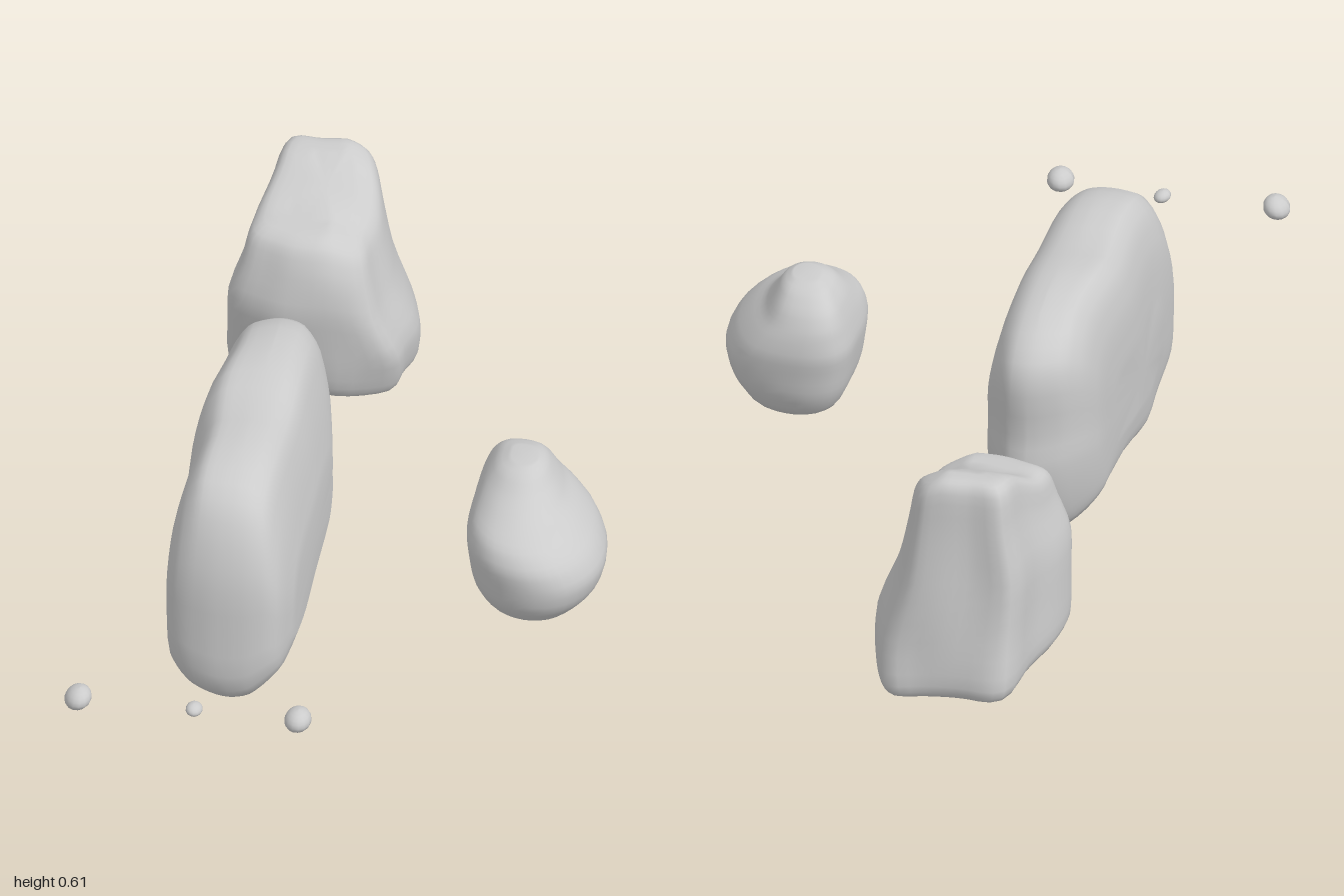
import * as THREE from 'three';

const material = new THREE.MeshStandardMaterial({ color: 0xcccccc, roughness: 0.9 });

// Closed smooth loft: one outline, fitted into the box of each ring [t, a0, a1, b0, b1].
// The outline runs anticlockwise as seen from the + end of the loft axis.
function loftRock(name, outline, rings, place, steps = 40, sub = 3) {
  const curve = new THREE.CatmullRomCurve3(outline.map(([a, b]) => new THREE.Vector3(a, b, 0)), true);
  const pts = [];
  for (let j = 0; j < steps; j++) pts.push(curve.getPoint(j / steps));
  const box = new THREE.Box3().setFromPoints(pts);
  const size = box.getSize(new THREE.Vector3());
  const fit = pts.map(p => [(p.x - box.min.x) / size.x, (p.y - box.min.y) / size.y]);

  // Subdivide between rings with a gentle cubic blend
  const fine = [];
  for (let i = 0; i < rings.length - 1; i++) {
    const at = k => rings[Math.max(0, Math.min(rings.length - 1, k))];
    for (let s = 0; s < sub; s++) {
      const f = s / sub;
      fine.push(rings[i].map((_, c) => {
        const p0 = at(i - 1)[c], p1 = at(i)[c], p2 = at(i + 1)[c], p3 = at(i + 2)[c];
        const m1 = (p2 - p0) * 0.4, m2 = (p3 - p1) * 0.4;
        return (2 * f ** 3 - 3 * f * f + 1) * p1 + (f ** 3 - 2 * f * f + f) * m1
          + (3 * f * f - 2 * f ** 3) * p2 + (f ** 3 - f * f) * m2;
      }));
    }
  }
  fine.push(rings[rings.length - 1]);

  const pos = [], idx = [];
  const n = fine.length;
  for (const [t, a0, a1, b0, b1] of fine) {
    for (const [a, b] of fit) pos.push(...place(a0 + a * (a1 - a0), b0 + b * (b1 - b0), t));
  }
  for (const [t, a0, a1, b0, b1] of [fine[0], fine[n - 1]]) pos.push(...place((a0 + a1) / 2, (b0 + b1) / 2, t));
  for (let j = 0; j < steps; j++) {
    const k = (j + 1) % steps;
    for (let i = 0; i < n - 1; i++) {
      const a = i * steps + j, b = i * steps + k, c = b + steps, d = a + steps;
      idx.push(a, b, c, a, c, d);
    }
    idx.push(n * steps, k, j);
    idx.push(n * steps + 1, (n - 1) * steps + j, (n - 1) * steps + k);
  }
  const geo = new THREE.BufferGeometry();
  geo.setAttribute('position', new THREE.Float32BufferAttribute(pos, 3));
  geo.setIndex(idx);
  geo.computeVertexNormals();
  const mesh = new THREE.Mesh(geo, material);
  mesh.name = name;
  return mesh;
}

// Upright slab, lofted along x from a side outline of [z, y], thinner at its front top corner
function slabRock() {
  const outline = [[0.59, 0.1], [0.52, 0.04], [0.36, 0.005], [0.15, 0.045], [-0.2, 0.065], [-0.25, 0.12], [-0.285, 0.25],
    [-0.275, 0.35], [-0.275, 0.5], [-0.2, 0.575], [0, 0.615], [0.18, 0.604], [0.38, 0.61], [0.51, 0.565], [0.58, 0.42], [0.595, 0.25]];
  const rings = [
    [-0.4, 0.02, 0.43, 0.18, 0.36], [-0.392, -0.11, 0.525, 0.1, 0.48], [-0.37, -0.19, 0.56, 0.06, 0.565],
    [-0.335, -0.25, 0.58, 0.025, 0.608], [-0.29, -0.28, 0.592, 0.008, 0.615], [-0.25, -0.29, 0.595, 0.003, 0.615],
    [-0.205, -0.28, 0.59, 0.015, 0.605], [-0.165, -0.23, 0.575, 0.055, 0.57], [-0.135, -0.16, 0.545, 0.1, 0.47],
    [-0.113, -0.05, 0.46, 0.16, 0.35]];
  return loftRock('slabRock', outline, rings, (z, y, x) => {
    const u = (z - 0.15) / 0.44, v = (y - 0.31) / 0.3;
    const pinch = (u > 0 && v > 0 ? 0.3 : 0.1) * (u * v) ** 2;
    const wave = x < -0.25 ? 0.006 * Math.sin(z * 17 + y * 5) : 0.012 * (z - 0.15);
    return [-0.255 + (x + 0.255) * (1 - pinch) + wave, y, z];
  }, 48);
}

// Tapered boulder with a raised back lip and a tilted base, from a plan outline of [x, z]
function backRock() {
  const outline = [[-0.4, -0.98], [-0.43, -0.84], [-0.465, -0.72], [-0.46, -0.62], [-0.38, -0.585], [-0.3, -0.565], [-0.18, -0.57],
    [-0.08, -0.61], [-0.065, -0.7], [-0.05, -0.78], [-0.07, -0.88], [-0.12, -0.985], [-0.2, -0.995], [-0.3, -0.985]];
  const rings = [
    [0.08, -0.38, -0.14, -0.92, -0.68], [0.07, -0.44, -0.08, -0.98, -0.62], [0.105, -0.465, -0.055, -0.998, -0.595],
    [0.2, -0.465, -0.05, -0.98, -0.575], [0.32, -0.46, -0.095, -0.96, -0.56], [0.42, -0.43, -0.12, -0.945, -0.575],
    [0.485, -0.415, -0.135, -0.935, -0.6], [0.508, -0.385, -0.155, -0.91, -0.635], [0.51, -0.32, -0.2, -0.86, -0.7]];
  return loftRock('backRock', outline, rings, (x, z, y) => {
    const s = Math.min(1, Math.max(0, (y - 0.08) / 0.42));
    const lip = 0.062 * THREE.MathUtils.smoothstep(-z, 0.7, 0.87);
    const top = lip - 0.07 * (z + 0.75) - 0.5 * Math.max(0, x + 0.23);
    const base = 0.1 * (z + 0.8) - 0.09 * (x + 0.26);
    const fold = 0.012 * Math.sin(y * 16) * Math.sin(x * 22);
    return [x, y + s * s * top + (1 - s) * base, z + fold * (1 - s)];
  }, 48);
}

// Rounded boulder with a dome towards one side
function sideRock() {
  const outline = [[0.233, 0.01], [0.228, 0.1], [0.232, 0.19], [0.255, 0.265], [0.315, 0.33], [0.4, 0.355], [0.475, 0.335],
    [0.53, 0.27], [0.55, 0.18], [0.525, 0.05], [0.465, -0.03], [0.34, -0.055], [0.265, -0.035]];
  const rings = [
    [0.136, 0.37, 0.43, 0.09, 0.18], [0.146, 0.325, 0.455, 0.04, 0.24], [0.18, 0.27, 0.498, -0.01, 0.308],
    [0.23, 0.245, 0.537, -0.035, 0.348], [0.285, 0.235, 0.55, -0.045, 0.36], [0.335, 0.23, 0.527, -0.052, 0.358],
    [0.375, 0.238, 0.488, -0.047, 0.33], [0.405, 0.247, 0.45, -0.038, 0.27], [0.44, 0.262, 0.424, -0.018, 0.21],
    [0.472, 0.288, 0.403, 0.018, 0.17], [0.487, 0.32, 0.38, 0.06, 0.135]];
  return loftRock('sideRock', outline, rings, (x, z, y) => [x, y, z]);
}

// Small stone: a sphere with a flattened base and a leaning top
function pebble(name, x, y, z, rx, ry, rz, lean) {
  const geo = new THREE.SphereGeometry(1, 14, 10);
  const p = geo.attributes.position;
  for (let i = 0; i < p.count; i++) {
    const py = p.getY(i), pz = p.getZ(i);
    p.setX(i, p.getX(i) + lean * (py * 0.3 + pz * 0.15));
    p.setY(i, py < 0 ? py * 0.85 : py);
  }
  geo.scale(rx, ry, rz);
  geo.computeVertexNormals();
  const mesh = new THREE.Mesh(geo, material);
  mesh.name = name;
  mesh.position.set(x, y, z);
  return mesh;
}

export function createModel() {
  const group = new THREE.Group();
  group.name = 'rockSet';
  group.add(
    slabRock(), backRock(), sideRock(),
    pebble('pebbleRight', -0.522, 0.308, 0.957, 0.031, 0.028, 0.04, 0.5),
    pebble('pebbleMiddle', -0.257, 0.303, 0.95, 0.019, 0.015, 0.025, -0.3),
    pebble('pebbleLeft', -0.018, 0.308, 0.957, 0.031, 0.028, 0.04, 0.2));
  return group;
}
